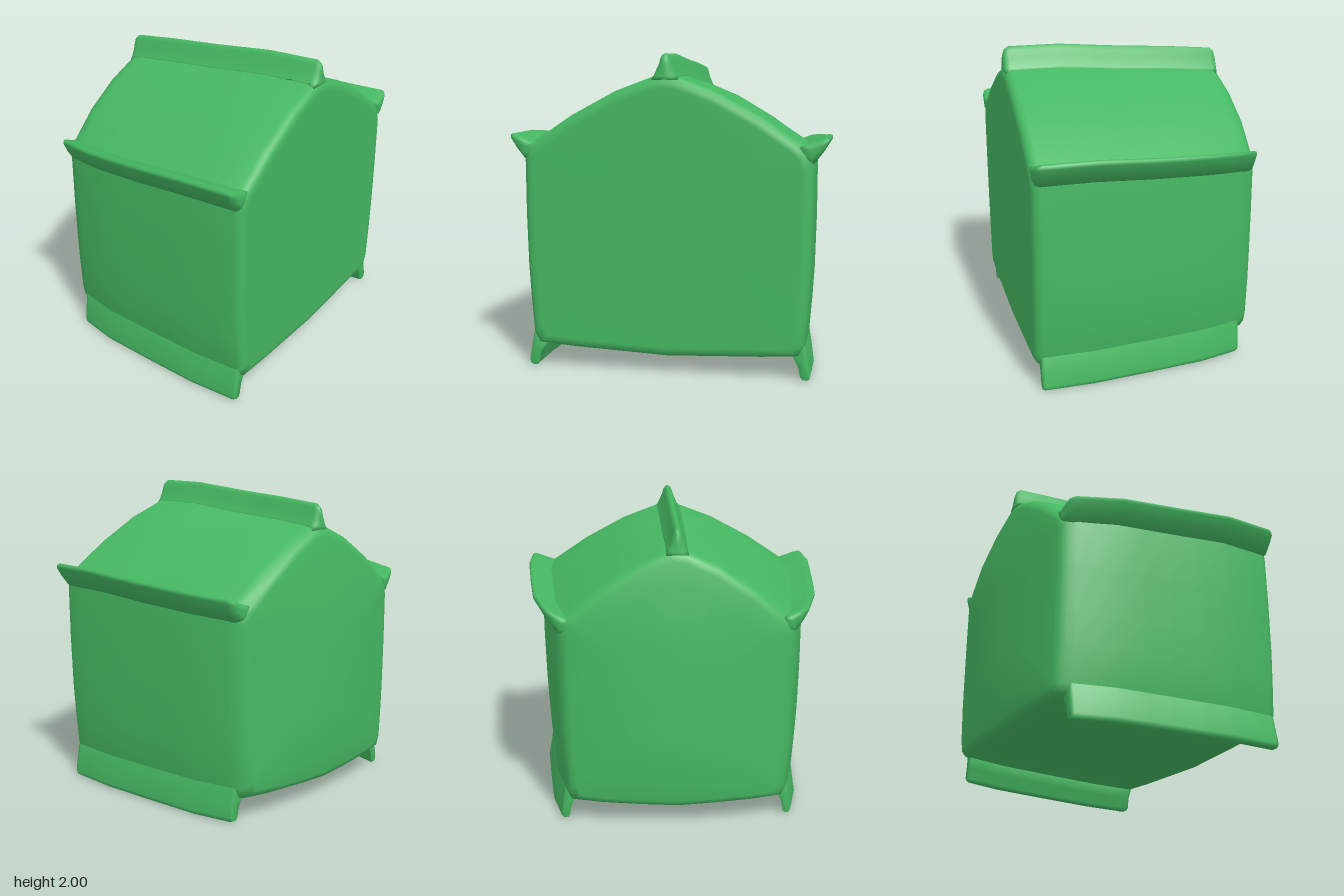
import * as THREE from 'three';

// Piecewise-linear lookup in a short table of [key, value]
function lookup(table, v) {
  if (v <= table[0][0]) return table[0][1];
  for (let i = 1; i < table.length; i++) {
    const [a, p] = table[i - 1], [b, q] = table[i];
    if (v <= b) return p + ((q - p) * (v - a)) / (b - a);
  }
  return table[table.length - 1][1];
}

// How the shell narrows and sinks towards its -x end
const widthAt = [[-0.69, 0.8], [-0.62, 0.83], [-0.35, 0.91], [0, 0.955], [0.4, 1]];
const dropAt = [[-0.69, 0.085], [-0.35, 0.055], [0, 0.033], [0.4, 0]];
// Strength of the end bulge by height
const bulgeAt = [[0.12, 0.65], [0.2, 0.8], [0.45, 1], [0.9, 0.92], [1.3, 0.78], [1.75, 0.05], [1.85, 0]];

function deform(x, y, z) {
  const zz = z * lookup(widthAt, x);
  const yy = y - lookup(dropAt, x) * THREE.MathUtils.clamp((y - 0.7) / 0.7, 0, 1);
  const across = Math.max(0, 1 - (zz / 0.74) ** 2);
  const near = THREE.MathUtils.clamp((-0.45 - x) / 0.23, 0, 1);
  return [x - 0.09 * across * lookup(bulgeAt, yy) * near, yy, zz];
}

// Loft a closed (z, y) profile through stations [x, scale about centre]
function loft(profile, stations, centre) {
  const n = profile.length, positions = [], index = [];
  for (const [x, k] of stations)
    for (const [z, y] of profile)
      positions.push(...deform(x, centre[1] + (y - centre[1]) * k, centre[0] + (z - centre[0]) * k));
  for (let s = 0; s < stations.length - 1; s++)
    for (let i = 0; i < n; i++) {
      const a = s * n + i, b = s * n + ((i + 1) % n), c = b + n, d = a + n;
      if (stations[s][1] > 0) index.push(a, b, d);
      if (stations[s + 1][1] > 0) index.push(b, c, d);
      else if (stations[s][1] > 0) index.splice(-3, 3, a, b, d);
    }
  const g = new THREE.BufferGeometry();
  g.setAttribute('position', new THREE.Float32BufferAttribute(positions, 3));
  g.setIndex(index);
  g.computeVertexNormals();
  return g;
}

const middle = [-0.5, -0.35, -0.17, 0, 0.2, 0.4, 0.6].map((x) => [x, 1]);

// Stations of a thin flange with rounded ends
const flangeStations = (x0, x1) => [
  [x0, 0], [x0, 0.55], [x0 + 0.012, 0.85], [x0 + 0.04, 1],
  ...middle,
  [x1 - 0.04, 1], [x1 - 0.012, 0.85], [x1, 0.55], [x1, 0],
];

const mirrored = (profile) => profile.map(([z, y]) => [-z, y]).reverse();

export function createModel() {
  const group = new THREE.Group();
  const green = new THREE.MeshStandardMaterial({ color: 0x45b862 });
  green.name = 'green';
  const add = (name, geometry) => {
    const mesh = new THREE.Mesh(geometry, green);
    mesh.name = name;
    group.add(mesh);
  };

  // Body: house-shaped outline with bulging ends
  const half = [
    [0.08, 1.86], [0.32, 1.77], [0.6, 1.62], [0.84, 1.46], [0.89, 1.41], [0.908, 1.34],
    [0.908, 1], [0.9, 0.65], [0.888, 0.45], [0.87, 0.22], [0.835, 0.155], [0.6, 0.138], [0.3, 0.125],
  ];
  const outline = [[0, 1.87], ...half, [0, 0.112], ...mirrored(half)];
  add('body', loft(outline, [
    [-0.69, 0], [-0.69, 0.2], [-0.69, 0.4], [-0.69, 0.6], [-0.69, 0.8], [-0.69, 0.93],
    [-0.68, 0.97], [-0.65, 0.995], [-0.6, 1],
    ...middle,
    [0.72, 1], [0.755, 0.985], [0.772, 0.955], [0.776, 0.92], [0.776, 0.5], [0.776, 0],
  ], [0, 0.9]));

  // Ridge fin along the roof top
  const finSide = [[0.014, 1.994], [0.028, 1.975], [0.042, 1.93], [0.072, 1.868], [0.1, 1.835]];
  add('ridgeFin', loft([[0, 2], ...finSide, ...mirrored(finSide)], flangeStations(-0.685, 0.77), [0, 1.86]));

  // Eaves and bottom skirts, one per long side
  const eave = [
    [0.8, 1.45], [0.845, 1.457], [0.94, 1.492], [0.98, 1.503], [0.998, 1.497],
    [0.998, 1.475], [0.96, 1.415], [0.905, 1.345], [0.85, 1.36],
  ];
  const skirt = [
    [0.85, 0.25], [0.872, 0.22], [0.892, 0.11], [0.905, 0.035], [0.9, 0.012],
    [0.885, 0.002], [0.86, 0.002], [0.842, 0.02], [0.828, 0.09], [0.79, 0.16],
  ];
  for (const [side, s] of [['front', 1], ['back', -1]]) {
    const shape = (p) => (s > 0 ? p : mirrored(p));
    add(side + 'Eave', loft(shape(eave), flangeStations(-0.685, 0.77), [s * 0.89, 1.43]));
    // Outline kept running the same way round as the body
    add(side + 'Skirt', loft(shape(skirt.map((p) => p)), [
      [-0.62, 0], [-0.62, 0.93], [-0.605, 1],
      ...middle,
      [0.72, 1], [0.738, 0.93], [0.738, 0],
    ], [s * 0.86, 0.12]));
  }
  return group;
}
